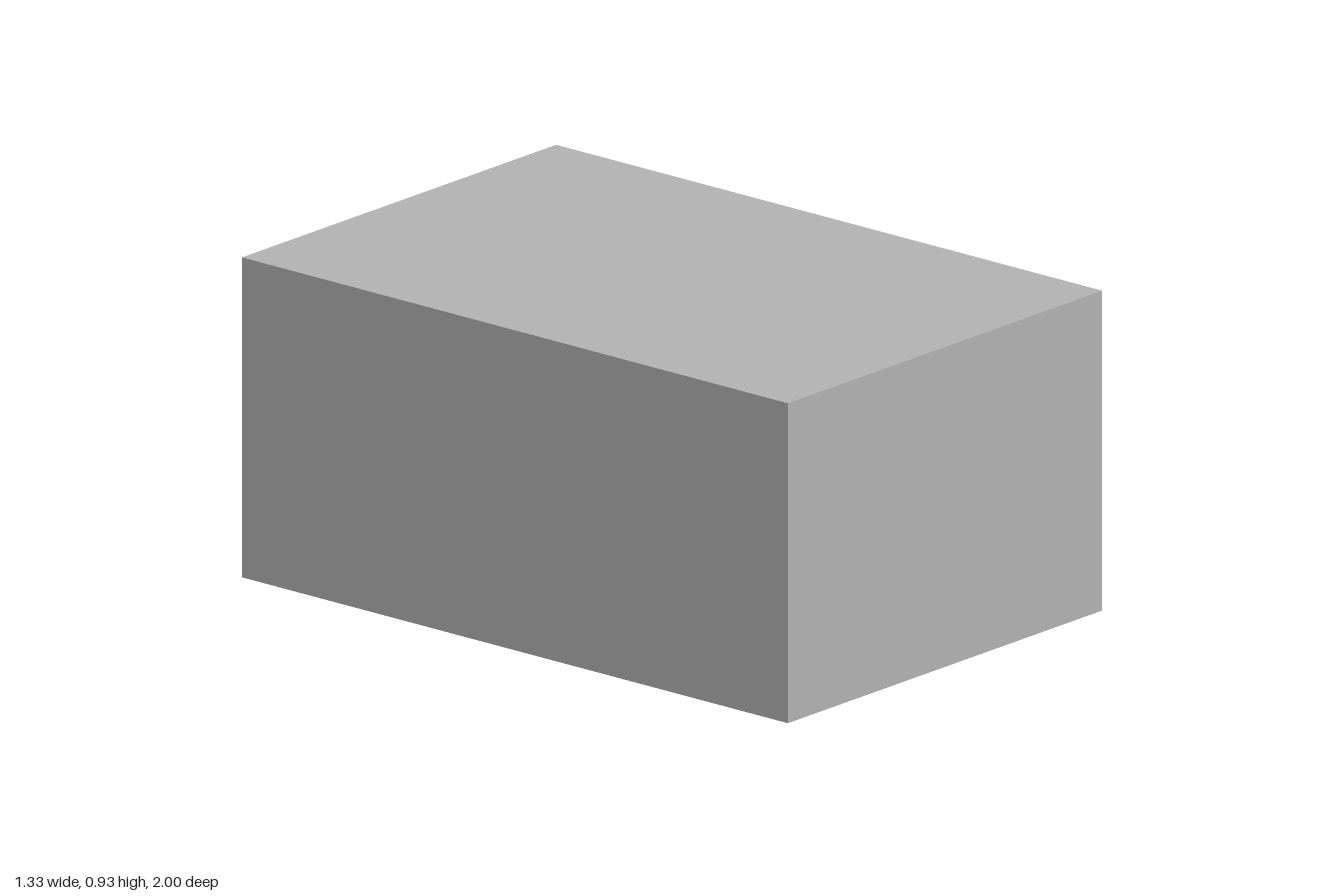
import * as THREE from 'three';

export function createModel() {
  const W = 1.333, H = 0.933, L = 2, T = 0.083; // outer size and wall thickness
  const grey = new THREE.MeshStandardMaterial({ color: 0xb2b2b2 });
  grey.name = 'grey';
  const group = new THREE.Group();
  group.name = 'openBottomBox';

  // Outer walls: a rectangular ring extruded upwards
  const rect = (Type, w, l) => new Type([
    new THREE.Vector2(-w / 2, -l / 2), new THREE.Vector2(w / 2, -l / 2),
    new THREE.Vector2(w / 2, l / 2), new THREE.Vector2(-w / 2, l / 2),
  ]);
  const outline = rect(THREE.Shape, W, L);
  outline.holes.push(rect(THREE.Path, W - 2 * T, L - 2 * T));
  const wallGeometry = new THREE.ExtrudeGeometry(outline, { depth: H - T, bevelEnabled: false });
  wallGeometry.rotateX(-Math.PI / 2);
  const walls = new THREE.Mesh(wallGeometry, grey);
  walls.name = 'walls';
  group.add(walls);

  const addBox = (name, w, h, l, y, z) => {
    const mesh = new THREE.Mesh(new THREE.BoxGeometry(w, h, l), grey);
    mesh.name = name;
    mesh.position.set(0, y, z);
    group.add(mesh);
  };

  // Closed top
  addBox('topPanel', W, T, L, H - T / 2, 0);

  // Two cross ribs inside, set slightly above the rim
  const gap = 0.043, ribHeight = H - T - gap;
  for (const side of [-1, 1]) {
    addBox(side < 0 ? 'backRib' : 'frontRib', W - 2 * T, ribHeight, 0.05, gap + ribHeight / 2, side * 0.34);
  }
  return group;
}
